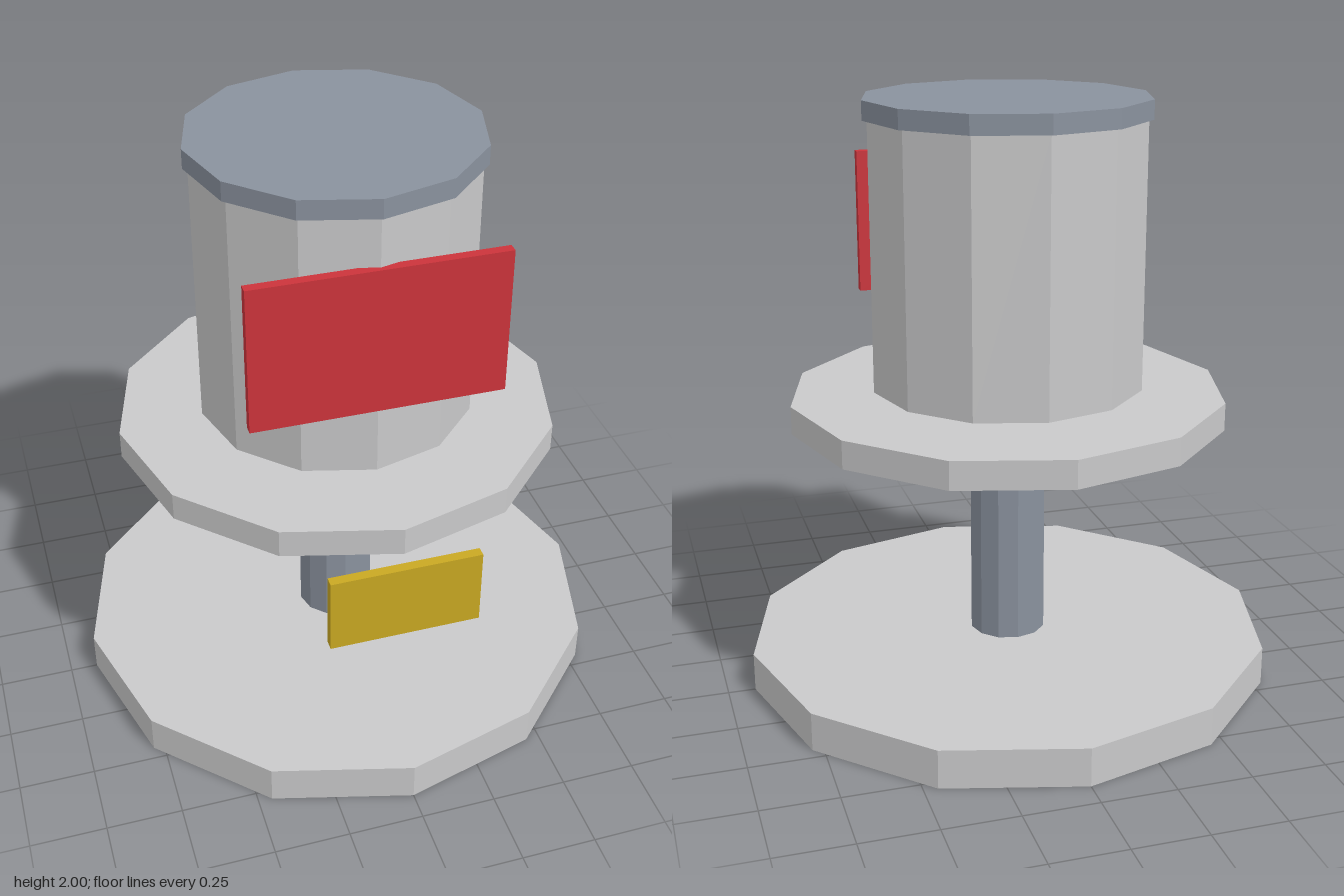
import * as THREE from 'three';

export function createModel() {
  const model = new THREE.Group();
  model.name = 'drumStand';

  const material = (name, color) => {
    const m = new THREE.MeshStandardMaterial({ color, flatShading: true });
    m.name = name;
    return m;
  };
  const paleGrey = material('paleGrey', 0xc9c9ca);
  const steel = material('steelGrey', 0x8a929e);
  const red = material('red', 0xcc343b);
  const gold = material('gold', 0xc9a822);

  const add = (name, geometry, mat, y, z = 0) => {
    const mesh = new THREE.Mesh(geometry, mat);
    mesh.name = name;
    mesh.position.set(0, y, z);
    model.add(mesh);
  };
  // Twelve-sided prism between two heights
  const prism = (name, radius, y0, y1, mat) =>
    add(name, new THREE.CylinderGeometry(radius, radius, y1 - y0, 12), mat, (y0 + y1) / 2);
  // Upright panel facing the front
  const panel = (name, width, y0, y1, z, mat) =>
    add(name, new THREE.BoxGeometry(width, y1 - y0, 0.033), mat, (y0 + y1) / 2, z);

  // Stand
  prism('base', 0.908, 0, 0.132, paleGrey);
  prism('column', 0.132, 0.132, 0.916, steel);
  prism('tray', 0.743, 0.916, 1.011, paleGrey);

  // Drum floats just above the tray
  prism('drum', 0.463, 1.036, 1.936, paleGrey);
  prism('cap', 0.479, 1.936, 2, steel);

  // Front panels
  panel('drumPanel', 0.825, 1.275, 1.771, 0.463, red);
  panel('lowerPlate', 0.495, 0.615, 0.879, 0.76, gold);

  return model;
}
